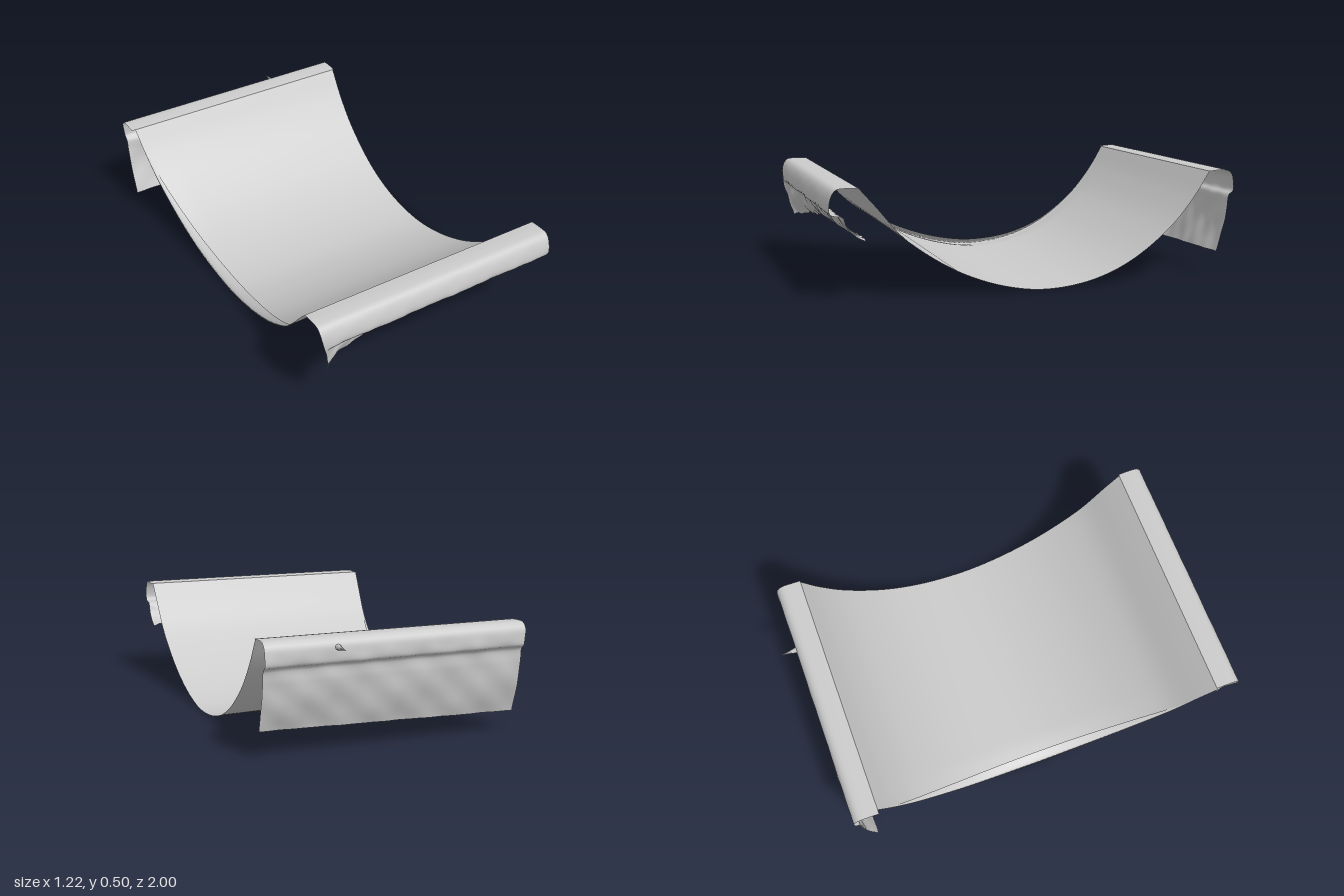
import * as THREE from 'three';

const { smoothstep, lerp, clamp } = THREE.MathUtils;
const cloth = new THREE.MeshStandardMaterial({ color: 0xcccccc, side: THREE.DoubleSide });

// Grid surface: point(i, j) returns [x, y, z]; i runs along x, j from front to back
function sheet(name, cols, rows, point) {
  const pos = [], index = [];
  for (let i = 0; i <= cols; i++) {
    for (let j = 0; j <= rows; j++) {
      pos.push(...point(i, j));
      if (i < cols && j < rows) {
        const a = i * (rows + 1) + j, b = a + rows + 1;
        index.push(a, b, b + 1, a, b + 1, a + 1);
      }
    }
  }
  const g = new THREE.BufferGeometry();
  g.setAttribute('position', new THREE.Float32BufferAttribute(pos, 3));
  g.setIndex(index);
  g.computeVertexNormals();
  const mesh = new THREE.Mesh(g, cloth);
  mesh.name = name;
  return mesh;
}

// Smooth section through [z, y] points
const section = (pts) => new THREE.CatmullRomCurve3(
  pts.map(([z, y]) => new THREE.Vector3(0, y, z)), false, 'centripetal');

// Gentle irregular wrinkles
const wrinkle = (x, y) =>
  Math.sin(x * 17 + y * 31) * 0.4 + Math.sin(x * 41 - y * 53 + 1) * 0.35 + Math.sin(x * 73 + y * 19 + 2) * 0.25;

// How far the sling has sagged: 1 in the middle, 0 near the rolls
const sag = (z) => clamp(1 - (z / 0.78) ** 2, 0, 1);
const leftEdge = (z) => -0.525 - 0.078 * (z / 0.85) ** 2;

function makeSling() {
  const curve = section([[0.87, 0.505], [0.8, 0.425], [0.68, 0.285], [0.55, 0.185], [0.4, 0.1],
    [0.22, 0.035], [0.03, 0.005], [-0.2, 0.028], [-0.4, 0.105], [-0.6, 0.25], [-0.72, 0.385], [-0.8, 0.505]]);
  const rows = 72, cols = 40, lip = 4;
  const line = curve.getSpacedPoints(rows);
  return sheet('sling', cols + lip, rows, (i, j) => {
    const { y, z } = line[j], w = sag(z), x0 = leftEdge(z);
    const t = Math.max(0, i - lip) / cols;
    let x = lerp(x0, 0.6 - 0.006 * w, t);
    let h = y + 0.021 * w * (1 - t) - 0.012 * w * (1 - smoothstep(x, x0, x0 + 0.13));
    // narrow lip curling up and inward along one side
    if (i < lip) {
      const s = 1 - i / lip;
      x += 0.045 * w * s * s;
      h += 0.032 * w * s;
    }
    return [x, h, z];
  });
}

function makeFrontFlap() {
  const top = [[0.996, 0.4], [0.993, 0.465], [0.97, 0.502], [0.93, 0.508], [0.87, 0.505]];
  const straight = [[0.958, 0.222], [0.972, 0.28], [0.984, 0.34], [0.993, 0.385]];
  const tucked = [[0.845, 0.285], [0.885, 0.305], [0.918, 0.345], [0.945, 0.388]];
  const rows = 36, cols = 120;
  const lines = [];
  for (let i = 0; i <= cols; i++) {
    // the hem hangs straight at one end and is tucked under along the rest
    const k = i / cols, t = 1 - Math.exp(-k * 12);
    const low = straight.map(([z, y], n) => [
      lerp(z, tucked[n][0], t),
      lerp(y, tucked[n][1] - (1 - k) * 0.035 * (1 - n / 4), t)]);
    lines.push(section([...low, ...top]).getSpacedPoints(rows));
  }
  return sheet('frontRollAndFlap', cols, rows, (i, j) => {
    const { y, z } = lines[i][j];
    const left = -0.545 - 0.055 * smoothstep(y, 0.23, 0.505);
    const x = lerp(left, 0.607, i / cols);
    const rough = 0.008 * (1 - smoothstep(y, 0.33, 0.44)) + 0.001 * (1 - smoothstep(y, 0.46, 0.5));
    const hem = j < 4 ? 0.007 * Math.sin(x * 97) * Math.sin(x * 39) * (1 - j / 4) : 0;
    return [x, y + hem + rough * 0.4 * wrinkle(x + 2, y), z + rough * wrinkle(x, y)];
  });
}

function makeBackFlap() {
  const curve = section([[-0.8, 0.505], [-0.83, 0.508], [-0.895, 0.506], [-0.918, 0.485], [-0.925, 0.45],
    [-0.921, 0.405], [-0.903, 0.392], [-0.897, 0.33], [-0.885, 0.25], [-0.865, 0.17], [-0.842, 0.1]]);
  const rows = 48, cols = 90;
  const line = curve.getSpacedPoints(rows);
  return sheet('backRollAndFlap', cols, rows, (i, j) => {
    const { y, z } = line[j], k = i / cols;
    const x = lerp(-0.606 - 0.008 * smoothstep(y, 0.4, 0.5), 0.606, k);
    const low = 1 - smoothstep(y, 0.1, 0.4);
    const rough = 0.005 * (1 - smoothstep(y, 0.4, 0.48));
    return [x, y + low * lerp(-0.008, 0.022, k), z + rough * wrinkle(x * 0.8, y * 0.7)];
  });
}

export function createModel() {
  const model = new THREE.Group();
  model.name = 'drapedSling';
  model.add(makeSling(), makeFrontFlap(), makeBackFlap());

  // small pulled point of cloth on the back roll
  const tuft = new THREE.Mesh(new THREE.ConeGeometry(0.014, 0.08, 6), cloth);
  tuft.name = 'pulledPoint';
  tuft.rotation.x = -Math.PI / 2;
  tuft.position.set(0.285, 0.468, -0.96);
  model.add(tuft);
  return model;
}
